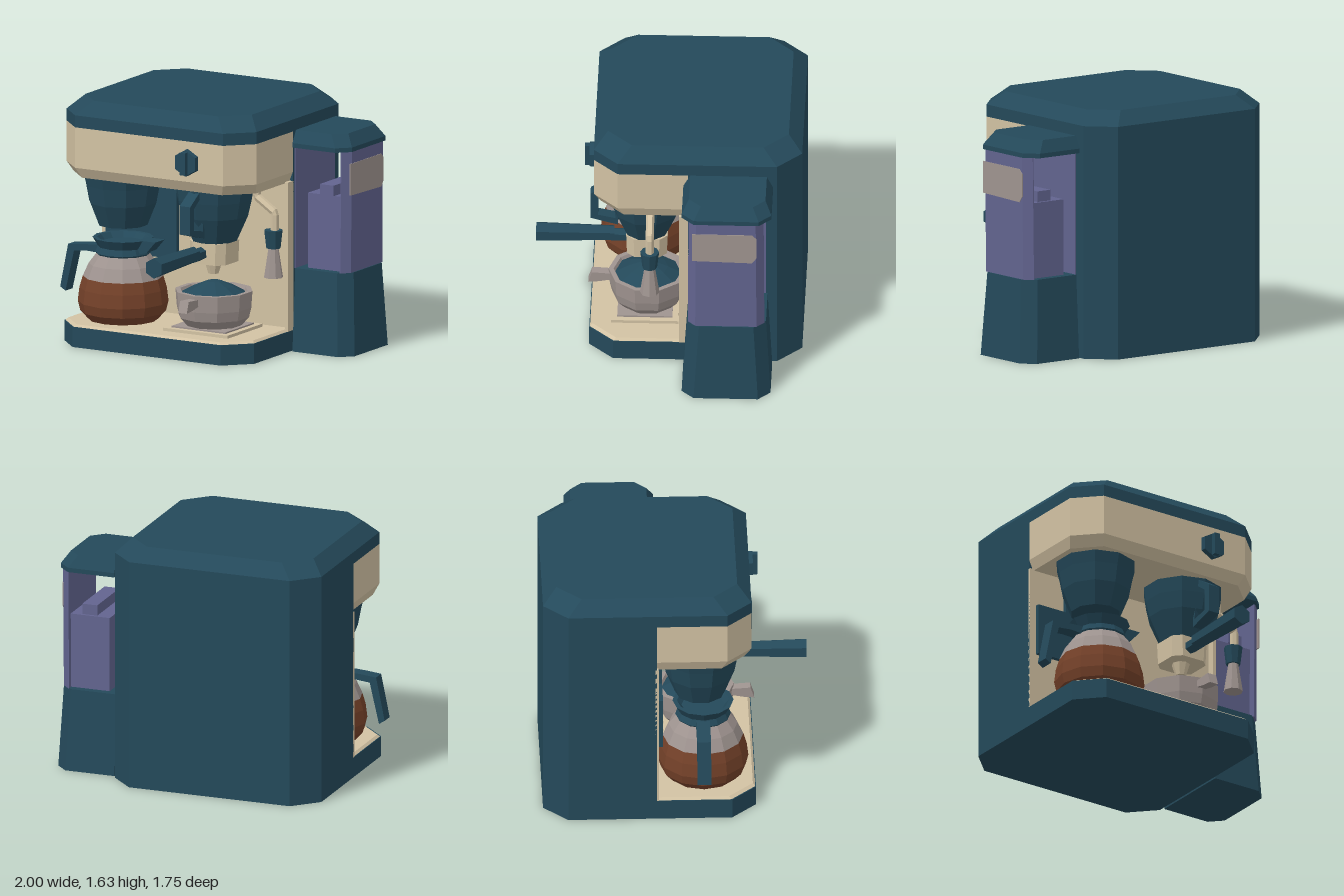
import * as THREE from 'three';

const mat = (name, color, side = THREE.FrontSide) => {
  const m = new THREE.MeshStandardMaterial({ color, side });
  m.name = name;
  return m;
};

export function createModel() {
  const root = new THREE.Group();
  root.name = 'coffeeMachine';
  const teal = mat('teal', 0x24495a), cream = mat('cream', 0xd2c2a3);
  const purple = mat('purple', 0x62648f, THREE.DoubleSide);
  const brown = mat('coffeeBrown', 0x744129), grey = mat('warmGrey', 0x9f9490);

  // Adds a mesh with faceted normals
  const add = (name, geo, material, x = 0, y = 0, z = 0) => {
    const g = geo.index ? geo.toNonIndexed() : geo;
    g.computeVertexNormals();
    const m = new THREE.Mesh(g, material);
    m.name = name;
    m.position.set(x, y, z);
    root.add(m);
    return m;
  };

  // Stacked chamfered rectangles: layer = [y, x0, x1, z0, z1], corners = [+x front, +x back, -x back, -x front]
  const loft = (layers, [a, b, c, d] = [0, 0, 0, 0]) => {
    const rings = layers.map(([y, x0, x1, z0, z1]) => [
      [x1, y, z1 - a], [x1, y, z0 + b], [x1 - b, y, z0], [x0 + c, y, z0],
      [x0, y, z0 + c], [x0, y, z1 - d], [x0 + d, y, z1], [x1 - a, y, z1]]);
    const v = [];
    const tri = (...p) => p.forEach(q => v.push(...q));
    for (let k = 0; k < rings.length - 1; k++)
      for (let i = 0; i < 8; i++) {
        const j = (i + 1) % 8, lo = rings[k], hi = rings[k + 1];
        tri(lo[i], lo[j], hi[j]);
        tri(lo[i], hi[j], hi[i]);
      }
    const bottom = rings[0], top = rings[rings.length - 1];
    for (let i = 1; i < 7; i++) {
      tri(bottom[0], bottom[i + 1], bottom[i]);
      tri(top[0], top[i], top[i + 1]);
    }
    const g = new THREE.BufferGeometry();
    g.setAttribute('position', new THREE.Float32BufferAttribute(v, 3));
    return g;
  };
  const box = (name, material, x0, x1, y0, y1, z0, z1) =>
    add(name, new THREE.BoxGeometry(x1 - x0, y1 - y0, z1 - z0), material,
      (x0 + x1) / 2, (y0 + y1) / 2, (z0 + z1) / 2);
  const lathe = (pts, sides) => new THREE.LatheGeometry(pts.map(p => new THREE.Vector2(...p)), sides);
  // Flat outline given a thickness, centred on its own plane
  const slab = (pts, depth, hole) => {
    const s = new THREE.Shape(pts.map(p => new THREE.Vector2(...p)));
    if (hole) s.holes.push(new THREE.Path(hole.map(p => new THREE.Vector2(...p))));
    return new THREE.ExtrudeGeometry(s, { depth, bevelEnabled: false }).translate(0, 0, -depth / 2);
  };

  // Housing
  const L = -0.885, R = 0.56, C = 0.16;
  add('backShell', loft([[0, L, R, -0.87, -0.13], [1.46, L, R, -0.87, -0.13]], [0, C, C, 0]), teal);
  add('base', loft([[0, L, R, -0.13, 0.52], [0.135, L, R, -0.13, 0.52]], [C, 0, 0, C]), teal);
  add('tray', loft([[0.135, L + 0.005, R - 0.005, -0.13, 0.515], [0.15, L + 0.02, R - 0.02, -0.13, 0.5]], [C, 0, 0, C]), cream);
  box('dripPlate', cream, -0.12, 0.37, 0.15, 0.17, -0.06, 0.38);
  box('cupStand', grey, -0.08, 0.33, 0.17, 0.18, -0.02, 0.34);
  box('backWall', cream, L, R, 0.135, 1.13, -0.14, -0.12);
  box('sideRib', cream, 0.535, R, 0.135, 1.13, -0.13, -0.07);
  add('head', loft([[1.12, L + 0.03, R - 0.03, -0.13, 0.45], [1.19, L, R, -0.13, 0.49], [1.46, L, R, -0.13, 0.49]], [C, 0, 0, C]), cream);
  add('lid', loft([[1.46, L, R, -0.87, 0.49], [1.54, L, R, -0.87, 0.49],
    [1.63, L + 0.09, R - 0.09, -0.78, 0.4]], [C, C, C, C]), teal);
  box('carafeBackPlate', teal, -0.84, -0.3, 0.52, 0.87, -0.13, -0.09);
  box('filterBackPlate', teal, -0.62, -0.3, 0.87, 1.12, -0.13, -0.09);

  // Dial
  add('dial', new THREE.CylinderGeometry(0.088, 0.092, 0.04, 6).rotateX(Math.PI / 2), teal, 0.132, 1.32, 0.505);
  box('dialGrip', teal, 0.112, 0.152, 1.245, 1.395, 0.5, 0.557);

  // Filter funnel and brewing cup under the head
  const funnel = [[0, 0], [0.165, 0], [0.225, 0.15], [0.248, 0.27], [0.268, 0.35], [0, 0.35]];
  add('filterFunnel', lathe(funnel, 10), teal, -0.56, 0.775, 0.16);
  const cup = [[0, 0], [0.15, 0], [0.225, 0.17], [0.25, 0.28], [0.265, 0.38], [0, 0.38]];
  add('brewCup', lathe(cup, 10), teal, 0.135, 0.745, 0.155);
  add('brewCupLoop', slab([[0.34, 0.79], [0.52, 0.84], [0.52, 1.03], [0.38, 1.12], [0.34, 1.1]], 0.08,
    [[0.355, 0.84], [0.47, 0.865], [0.47, 1.01], [0.385, 1.07]]).rotateY(-Math.PI / 2), teal, 0.13);

  // Brewing spout with its handle
  add('spoutBlock', loft([[0.6, 0.0, 0.265, 0.02, 0.28], [0.745, -0.005, 0.27, 0.015, 0.285]],
    [0.05, 0.05, 0.05, 0.05]), cream);
  add('spoutNozzle', new THREE.CylinderGeometry(0.06, 0.035, 0.08, 8), cream, 0.125, 0.56, 0.15);
  add('spoutHandleNeck', new THREE.CylinderGeometry(0.045, 0.045, 0.12, 6).rotateX(Math.PI / 2), teal, 0.11, 0.672, 0.325);
  add('spoutHandle', new THREE.CylinderGeometry(0.068, 0.053, 0.51, 6).rotateX(Math.PI / 2), teal, 0.105, 0.68, 0.62);

  // Coffee pot
  const px = -0.545, pz = 0.18;
  add('potCoffee', lathe([[0, 0.15], [0.23, 0.15], [0.28, 0.205], [0.296, 0.27], [0.285, 0.36], [0.263, 0.435]], 12), brown, px, 0, pz);
  add('potGlass', lathe([[0.263, 0.435], [0.225, 0.52], [0.172, 0.59]], 12), grey, px, 0, pz);
  add('potCollar', lathe([[0.172, 0.58], [0.182, 0.595], [0.165, 0.635], [0.2, 0.695], [0.17, 0.695], [0.14, 0.66], [0, 0.66]], 12), teal, px, 0, pz);
  add('potSpout', slab([[-0.4, 0.6], [-0.33, 0.62], [-0.265, 0.695], [-0.4, 0.695]], 0.12), teal, 0, 0, pz);
  add('potHandle', slab([[-0.69, 0.575], [-0.69, 0.63], [-0.84, 0.62], [-0.94, 0.61], [-1, 0.32],
    [-0.96, 0.295], [-0.895, 0.57], [-0.8, 0.58]], 0.09), teal, 0, 0, 0.175);

  // Serving cup with a mound of grounds
  add('servingCup', lathe([[0, 0.18], [0.185, 0.18], [0.235, 0.235], [0.25, 0.3], [0.258, 0.41], [0.225, 0.41], [0.2, 0.36], [0, 0.36]], 10), grey, 0.125, 0, 0.145);
  add('cupGrounds', lathe([[0.222, 0.385], [0.13, 0.435], [0.05, 0.468], [0, 0.472]], 10), teal, 0.125, 0, 0.145);
  add('servingCupHandle', slab([[0.36, 0.345], [0.47, 0.325], [0.535, 0.32], [0.51, 0.395], [0.36, 0.385]], 0.065)
    .rotateY(-Math.PI / 2), grey, 0.12);

  // Steam wand
  const wand = new THREE.CurvePath();
  const wp = [[0.435, 1.14], [0.435, 1.06], [0.572, 0.97], [0.572, 0.82]].map(p => new THREE.Vector3(p[0], p[1], 0.12));
  for (let i = 0; i < 3; i++) wand.add(new THREE.LineCurve3(wp[i], wp[i + 1]));
  add('steamPipe', new THREE.TubeGeometry(wand, 18, 0.027, 6), cream);
  add('steamGrip', new THREE.CylinderGeometry(0.062, 0.048, 0.12, 8), teal, 0.563, 0.79, 0.12);
  add('steamTip', new THREE.CylinderGeometry(0.033, 0.064, 0.2, 8), grey, 0.563, 0.635, 0.12);

  // Water tank
  const tc = [0.08, 0.08, 0, 0];
  add('tankBase', loft([[0, 0.575, 1, -0.68, -0.1], [0.55, 0.575, 0.972, -0.65, -0.135]], tc), teal);
  add('tankLid', loft([[1.36, 0.575, 0.98, -0.685, -0.1], [1.39, 0.575, 0.98, -0.685, -0.1],
    [1.47, 0.575, 0.925, -0.645, -0.145]], tc), teal);
  add('tankOuterWall', loft([[0.55, 0.91, 0.965, -0.64, -0.14], [1.36, 0.915, 0.972, -0.635, -0.145]], [0.05, 0.05, 0, 0]), purple);
  box('tankInnerWall', purple, 0.568, 0.576, 0.55, 1.36, -0.64, -0.14);
  box('waterBlock', purple, 0.64, 0.93, 0.55, 1.05, -0.6, -0.19);
  box('waterBlockBar', purple, 0.735, 0.84, 1.05, 1.12, -0.58, -0.18);
  add('tankWindow', slab([[0.17, 1.28], [0.17, 1.07], [0.56, 1.06], [0.59, 1.1], [0.59, 1.25], [0.56, 1.28]], 0.008)
    .rotateY(Math.PI / 2), grey, 0.971);

  return root;
}
